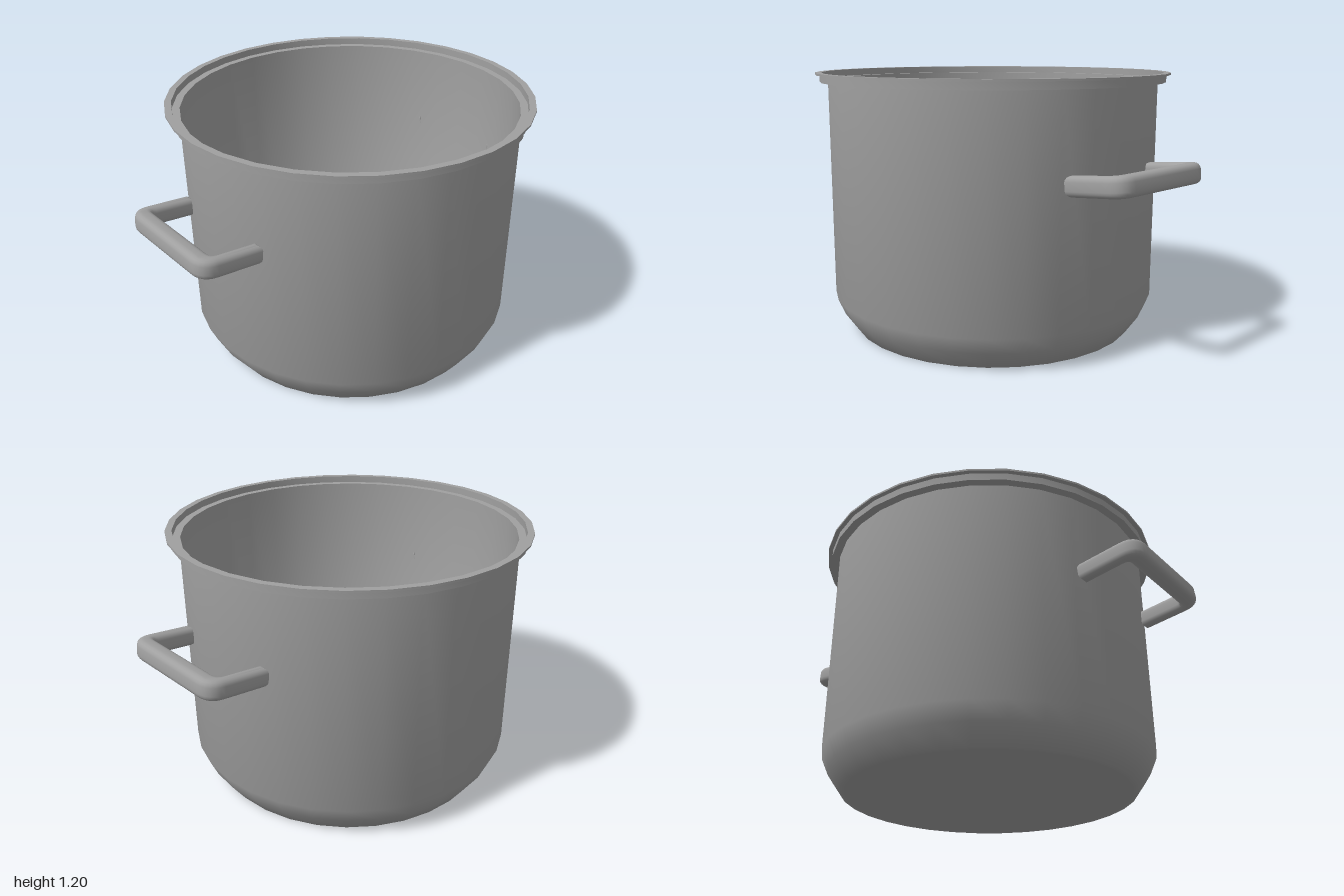
import * as THREE from 'three';
import { toCreasedNormals } from 'three/addons/utils/BufferGeometryUtils.js';

const steel = new THREE.MeshStandardMaterial({ color: 0xa0a0a0 });
steel.name = 'steel grey';

// Pot wall as one closed profile: base, outside, stepped rim, inside, floor
function createPot() {
  const profile = [
    [0, 0], [0.65, 0], [0.67, 0], [0.73, 0.085], [0.763, 0.16],
    [0.763, 1.155], [0.8, 1.155], [0.8, 1.188], [0.82, 1.188], [0.82, 1.197],
    [0.79, 1.197], [0.79, 1.165], [0.756, 1.165],
    [0.756, 0.165], [0.723, 0.092], [0.665, 0.01], [0.645, 0.01], [0, 0.01],
  ].map(([r, y]) => new THREE.Vector2(r, y));
  const pot = new THREE.Mesh(toCreasedNormals(new THREE.LatheGeometry(profile, 32), 1.1), steel);
  pot.name = 'pot';
  return pot;
}

// U-shaped bar lying flat, rounded by its bevel and tilted up outwards
function createHandle() {
  const bevel = 0.026, height = 0.088, root = 0.715;
  const xo = 0.285 - bevel, xi = 0.231 + bevel;
  const zo = 1 - root - bevel, zi = 0.922 - root + bevel;
  const ro = 0.055, ri = 0.05;
  const s = new THREE.Shape();
  s.moveTo(xo, bevel);
  s.lineTo(xo, zo - ro);
  s.quadraticCurveTo(xo, zo, xo - ro, zo);
  s.lineTo(-xo + ro, zo);
  s.quadraticCurveTo(-xo, zo, -xo, zo - ro);
  s.lineTo(-xo, bevel);
  s.lineTo(-xi, bevel);
  s.lineTo(-xi, zi - ri);
  s.quadraticCurveTo(-xi, zi, -xi + ri, zi);
  s.lineTo(xi - ri, zi);
  s.quadraticCurveTo(xi, zi, xi, zi - ri);
  s.lineTo(xi, bevel);
  s.closePath();
  const depth = height - 2 * bevel;
  const geometry = new THREE.ExtrudeGeometry(s, {
    depth, bevelEnabled: true, bevelThickness: bevel, bevelSize: bevel,
    bevelSegments: 4, curveSegments: 6,
  });
  geometry.translate(0, 0, -depth / 2);
  geometry.rotateX(Math.PI / 2 - 0.11);
  geometry.translate(0, 0.774, root);
  return new THREE.Mesh(toCreasedNormals(geometry, 0.8), steel);
}

export function createModel() {
  const model = new THREE.Group();
  model.name = 'cookingPot';
  model.add(createPot());
  // Matching handles at the front and the back
  ['frontHandle', 'backHandle'].forEach((name, i) => {
    const handle = createHandle();
    handle.name = name;
    handle.rotation.y = i * Math.PI;
    model.add(handle);
  });
  return model;
}
